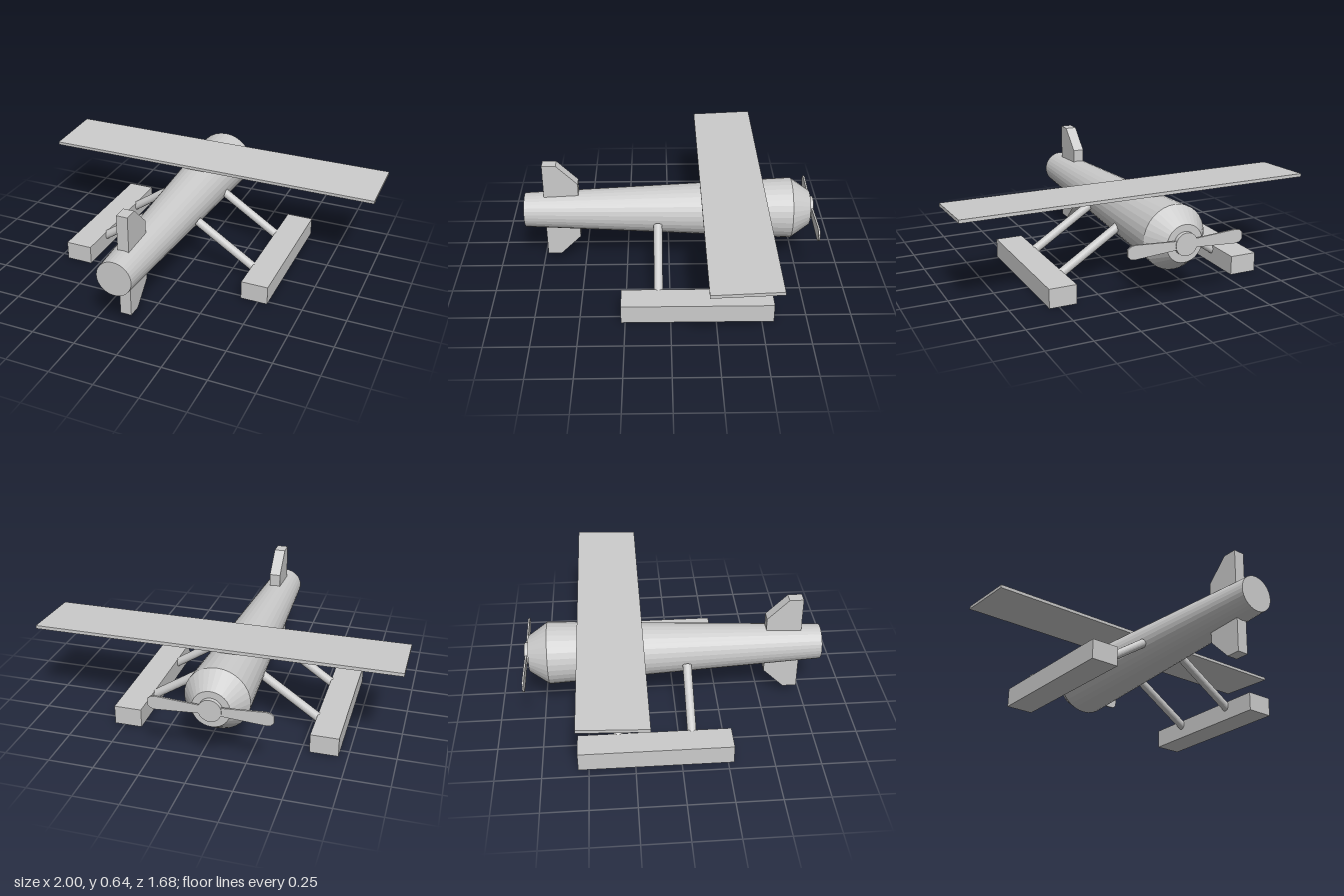
import * as THREE from 'three';

const AXIS_X = -0.085, AXIS_Y = 0.345;

export function createModel() {
  const model = new THREE.Group();
  model.name = 'floatplane';
  const material = new THREE.MeshStandardMaterial({ color: 0xcccccc, flatShading: true });

  function add(name, geometry, x = 0, y = 0, z = 0) {
    const mesh = new THREE.Mesh(geometry, material);
    mesh.name = name;
    mesh.position.set(x, y, z);
    model.add(mesh);
    return mesh;
  }

  // Flat plate from an outline, centred on its thickness
  function plate(points, depth) {
    const shape = new THREE.Shape(points.map(([x, y]) => new THREE.Vector2(x, y)));
    return new THREE.ExtrudeGeometry(shape, { depth, bevelEnabled: false }).translate(0, 0, -depth / 2);
  }

  // Tapered fuselage with conical cowl, nose towards -z
  const profile = [[0, -0.84], [0.1, -0.84], [0.177, 0.71], [0.102, 0.82], [0, 0.82]];
  const body = new THREE.LatheGeometry(profile.map(([r, y]) => new THREE.Vector2(r, y)), 32);
  add('fuselage', body.rotateX(-Math.PI / 2), AXIS_X, 0.342, 0);

  // Propeller hub and two blades that widen towards chamfered tips
  const hub = new THREE.CylinderGeometry(0.062, 0.062, 0.024, 32).rotateX(Math.PI / 2);
  add('propellerHub', hub, AXIS_X, AXIS_Y, -0.831);
  const outline = [[0, -0.02], [0.29, -0.038], [0.315, -0.033], [0.33, -0.018],
    [0.33, 0.018], [0.315, 0.033], [0.29, 0.038], [0, 0.02]];
  for (const turn of [0, Math.PI]) {
    const blade = add('propellerBlade', plate(outline, 0.01), AXIS_X, AXIS_Y, -0.835);
    blade.rotation.z = turn;
  }

  // High wing, leading edge slightly raised
  const wing = add('wing', new THREE.BoxGeometry(2, 0.018, 0.362), 0, 0.517, -0.36);
  wing.rotation.x = 0.045;

  // Upper and lower tail fin in one plate through the fuselage
  const fin = plate([[-0.725, -0.297], [-0.645, -0.297], [-0.525, -0.178],
    [-0.525, 0.178], [-0.645, 0.297], [-0.725, 0.297]], 0.064);
  add('tailFin', fin.rotateY(Math.PI / 2), AXIS_X, 0.349, 0);

  // Floats, each on two slanted struts
  const floats = [
    { side: 'left', dir: 1, x: 0.4775, z: -0.147 },
    { side: 'right', dir: -1, x: -0.6225, z: -0.138 },
  ];
  for (const { side, dir, x, z } of floats) {
    add(side + 'Float', new THREE.BoxGeometry(0.155, 0.108, 0.84), x, 0.055, z);
    for (const strutZ of [0.066, -0.337]) {
      const top = new THREE.Vector3(AXIS_X + dir * 0.135, 0.31, strutZ);
      const foot = new THREE.Vector3(x - dir * 0.055, 0.07, strutZ);
      const along = top.clone().sub(foot);
      const strut = add(side + 'Strut', new THREE.CylinderGeometry(0.025, 0.025, along.length(), 24));
      strut.position.copy(top).add(foot).multiplyScalar(0.5);
      strut.quaternion.setFromUnitVectors(new THREE.Vector3(0, 1, 0), along.normalize());
    }
  }
  return model;
}
